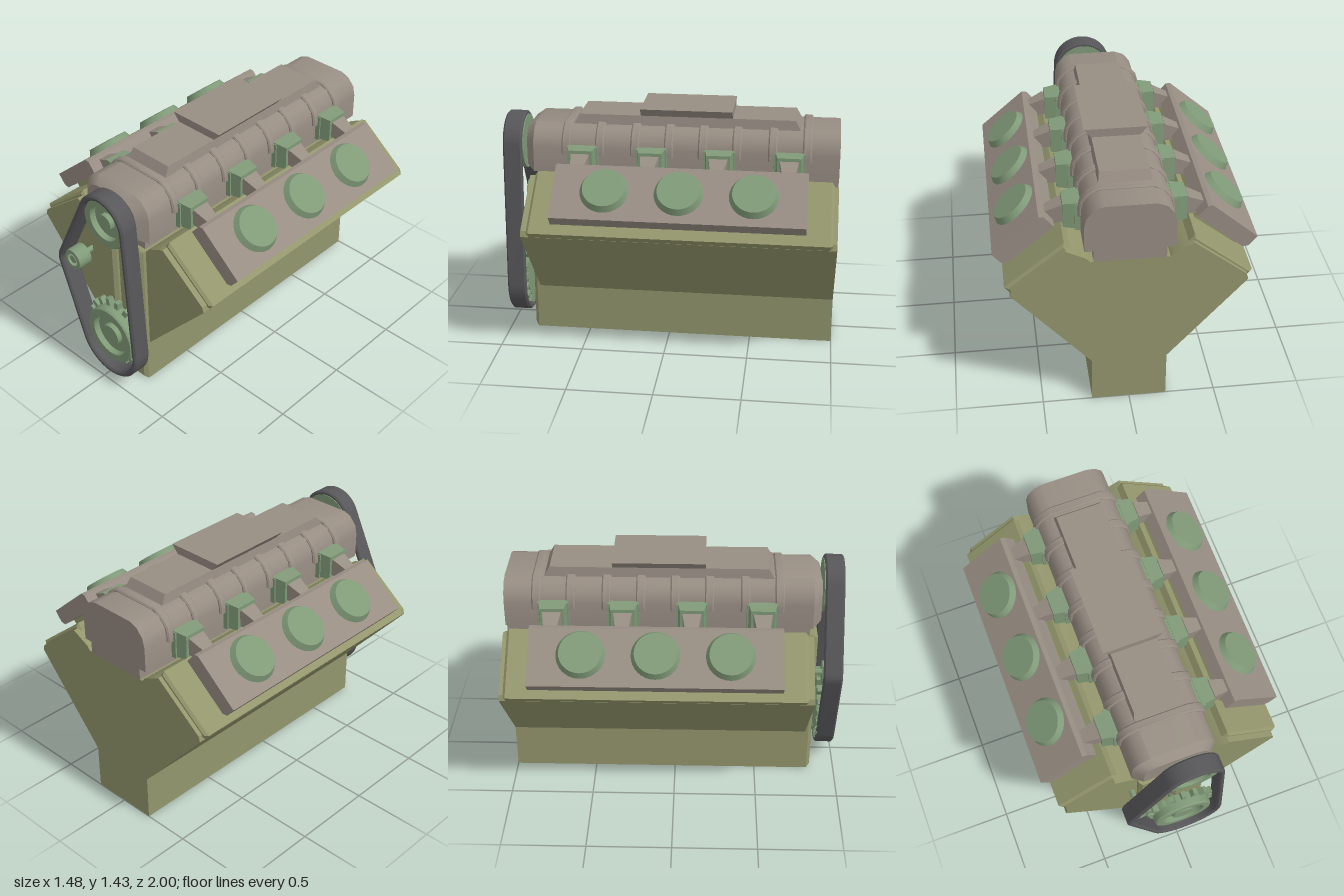
import * as THREE from 'three';
import { toCreasedNormals } from 'three/addons/utils/BufferGeometryUtils.js';

const mat = (color) => new THREE.MeshStandardMaterial({ color });
const olive = mat(0x93966c), grey = mat(0x978d83), green = mat(0x809a78), dark = mat(0x57575a);

function add(parent, name, geometry, material, x = 0, y = 0, z = 0) {
  const mesh = new THREE.Mesh(toCreasedNormals(geometry, 0.6), material);
  mesh.name = name;
  mesh.position.set(x, y, z);
  parent.add(mesh);
  return mesh;
}

const toShape = (pts) => new THREE.Shape(pts.map(([x, y]) => new THREE.Vector2(x, y)));

// Mirror half of an outline, listed from bottom to top, across x = 0
const mirrored = (half) => [...half, ...half.map(([x, y]) => [-x, y]).reverse()];

// Extrude an outline from z0 to z1, with an optional chamfer inside that size
function prism(shape, z0, z1, bevel = 0, steps = 1) {
  const g = new THREE.ExtrudeGeometry(shape, {
    depth: z1 - z0 - 2 * bevel, steps, bevelEnabled: bevel > 0,
    bevelSize: bevel, bevelThickness: bevel, bevelOffset: -bevel, bevelSegments: 1, curveSegments: 24,
  });
  return g.translate(0, 0, z0 + bevel);
}

// Box lying along x whose outer end is scaled
function taperedBox(x0, x1, h, d, scaleY, scaleZ) {
  const g = new THREE.BoxGeometry(x1 - x0, h, d), p = g.attributes.position;
  for (let i = 0; i < p.count; i++) {
    if (p.getX(i) > 0) p.setXYZ(i, p.getX(i), p.getY(i) * scaleY, p.getZ(i) * scaleZ);
  }
  return g.translate((x0 + x1) / 2, 0, 0);
}

// Box whose top face has its own width and depth
function frustum(w, d, topW, topD, h) {
  const g = new THREE.BoxGeometry(w, h, d), p = g.attributes.position;
  for (let i = 0; i < p.count; i++) {
    if (p.getY(i) > 0) p.setXYZ(i, p.getX(i) * topW / w, p.getY(i), p.getZ(i) * topD / d);
  }
  return g.translate(0, h / 2, 0);
}

function buildBlock(root) {
  const g = new THREE.Group();
  g.name = 'engineBlock';
  add(g, 'blockBody', prism(toShape(mirrored([
    [0.215, 0], [0.215, 0.28], [0.66, 0.785], [0.65, 0.82], [0.35, 1.055], [0.24, 1.0], [0.22, 0.975],
  ])), -1, 0.81), olive);
  // Front plate, split by a centre groove
  for (const s of [-1, 1]) {
    add(g, 'frontPlate', prism(toShape([[s * 0.01, 0], [s * 0.215, 0], [s * 0.215, 0.975], [s * 0.01, 0.975]]),
      0.76, 0.85, 0.02), olive);
  }
  root.add(g);
}

// One cylinder bank with its cover and ports, along +x
function buildBank(root, name, turn) {
  const bank = new THREE.Group();
  bank.name = name;
  bank.position.z = -0.1;
  bank.rotation.y = turn;
  const tilted = new THREE.Group();
  tilted.name = 'tiltedHead';
  tilted.rotation.z = -THREE.MathUtils.degToRad(40);
  bank.add(tilted);

  add(tilted, 'headDeck', prism(toShape([[-0.42, 0.98], [0, 1.01], [0, 1.07], [-0.425, 1.06]]), -0.875, 0.875, 0.015), olive);
  add(tilted, 'gasket', prism(toShape([[-0.38, 1.03], [-0.07, 1.03], [-0.07, 1.12], [-0.38, 1.12]]), -0.66, 0.66), olive);
  add(tilted, 'valveCover', prism(toShape([
    [-0.405, 1.1], [-0.06, 1.1], [-0.038, 1.125], [-0.038, 1.2], [-0.385, 1.205], [-0.405, 1.185],
  ]), -0.725, 0.725), grey);
  for (const z of [-0.425, 0, 0.425]) {
    add(tilted, 'coverCap', new THREE.CylinderGeometry(0.122, 0.143, 0.04, 32), green, -0.228, 1.219, z);
  }

  // Intake ports reaching from the plenum to the head
  for (const z of [-0.61, -0.2, 0.2, 0.61]) {
    const port = new THREE.Group();
    port.name = 'intakePort';
    port.position.z = z;
    add(port, 'portNeck', taperedBox(0.2, 0.28, 0.17, 0.19, 0.95, 0.95), green, 0, 1.135);
    add(port, 'portBlock', taperedBox(0.26, 0.345, 0.165, 0.17, 0.9, 0.82), green, 0, 1.14);
    const runner = add(port, 'portRunner', taperedBox(0, 0.12, 0.11, 0.11, 0.7, 0.65), grey, 0.335, 1.145);
    runner.rotation.z = -0.3;
    bank.add(port);
  }
  root.add(bank);
}

function buildIntake(root) {
  const g = new THREE.Group();
  g.name = 'intakeManifold';
  const arch = (o, bottom) => toShape(mirrored([
    [0.25 + o, bottom], [0.25 + o, 1.2], [0.237 + o, 1.255], [0.195 + o, 1.305], [0.14 + o, 1.325 + o * 0.7],
  ]));

  // Plenum, with its front end drawn in
  const plenum = prism(arch(0, 1.045), -1, 0.86, 0, 2), p = plenum.attributes.position;
  for (let i = 0; i < p.count; i++) {
    const z = p.getZ(i);
    if (z > 0.8) p.setXY(i, p.getX(i) * 0.78, 1.18 + (p.getY(i) - 1.18) * 0.78);
    else if (z > -0.9) p.setZ(i, 0.81);
  }
  add(g, 'plenum', plenum, grey);
  add(g, 'plenumBase', new THREE.BoxGeometry(0.4, 0.12, 1.8), grey, 0, 1.02, -0.1);

  // Ribs, in pairs beside each port
  for (const z of [-0.71, -0.3, 0.1, 0.51]) {
    for (const s of [-1, 1]) {
      add(g, 'plenumRib', prism(arch(0.016, 1.16), z + s * 0.1 - 0.027, z + s * 0.1 + 0.027, 0.008), grey);
    }
  }

  // Stepped air scoop
  add(g, 'scoopBase', frustum(0.3, 1.36, 0.28, 1.28, 0.07), grey, 0, 1.31, -0.095);
  add(g, 'scoopCollar', new THREE.BoxGeometry(0.28, 0.1, 0.545), grey, 0, 1.34, -0.095);
  add(g, 'scoopTop', frustum(0.28, 0.545, 0.365, 0.545, 0.05), grey, 0, 1.38, -0.095);
  root.add(g);
}

// Pulley with a raised rim and hub, facing +z
function pulley(root, name, x, y, r, ring, hub) {
  const g = new THREE.Group();
  g.name = name;
  g.position.set(x, y, 0.88);
  const profile = [[0, 0], [r, 0], [r, 0.08], [r * 0.96, 0.09], [ring, 0.09], [ring * 0.96, 0.055],
    [hub * 1.05, 0.055], [hub, 0.085], [0, 0.085]].map(([a, b]) => new THREE.Vector2(a, b));
  add(g, 'pulleyWheel', new THREE.LatheGeometry(profile, 40).rotateX(Math.PI / 2), green);
  add(g, 'pulleyShaft', new THREE.CylinderGeometry(hub * 0.7, hub * 0.7, 0.12, 20).rotateX(Math.PI / 2), green, 0, 0, -0.04);
  root.add(g);
  return g;
}

// Belt loop wrapped around three circles [x, y, radius]
function buildBelt(root) {
  const circles = [[0.06, 1.18, 0.18], [-0.247, 0.747, 0.095], [0.055, 0.3, 0.235]];
  const loop = (inset) => {
    const pts = [];
    for (let i = 0; i < 120; i++) {
      const a = (i / 120) * Math.PI * 2, c = Math.cos(a), s = Math.sin(a);
      const reach = ([x, y, r]) => x * c + y * s + r;
      const [x, y, r] = circles.reduce((m, k) => (reach(k) > reach(m) ? k : m));
      pts.push([x + (r - inset) * c, y + (r - inset) * s]);
    }
    return pts;
  };
  const shape = toShape(loop(0));
  shape.holes.push(toShape(loop(0.034)));
  add(root, 'driveBelt', prism(shape, 0.885, 1, 0.01), dark);
}

export function createModel() {
  const root = new THREE.Group();
  root.name = 'engine';
  buildBlock(root);
  buildBank(root, 'leftBank', 0);
  buildBank(root, 'rightBank', Math.PI);
  buildIntake(root);

  pulley(root, 'upperPulley', 0.057, 1.175, 0.163, 0.11, 0.05);
  pulley(root, 'idlerPulley', -0.247, 0.747, 0.068, 0.042, 0.025);
  const crank = pulley(root, 'crankPulley', 0.04, 0.33, 0.185, 0.135, 0.067);
  // Gear teeth around the crank pulley
  for (let i = 0; i < 18; i++) {
    const a = (i / 18) * Math.PI * 2 + 0.1;
    const tooth = add(crank, 'gearTooth', taperedBox(0.17, 0.228, 0.034, 0.045, 0.8, 0.8), green, 0, 0, 0.02);
    tooth.rotation.z = a;
  }
  buildBelt(root);
  return root;
}
